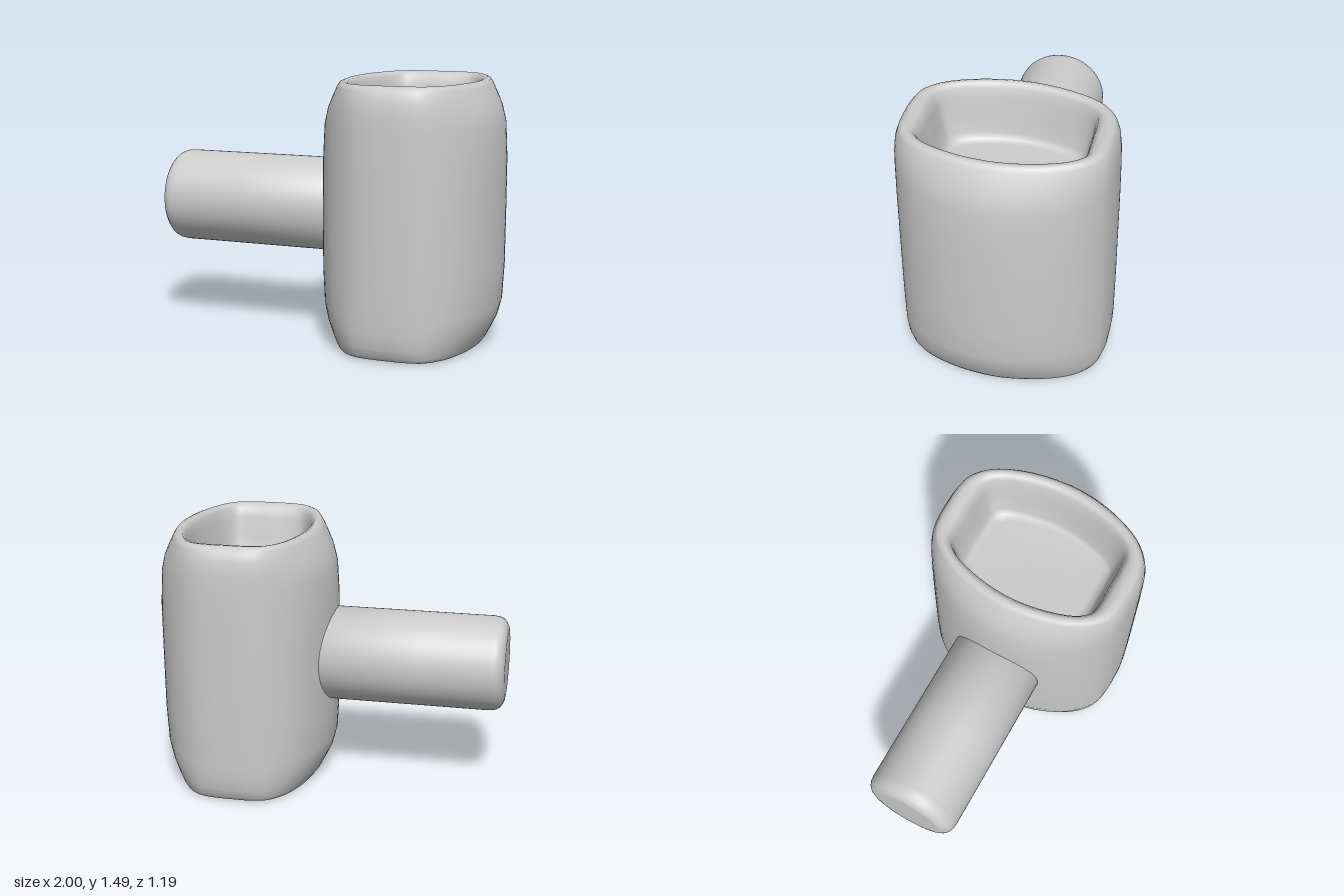
import * as THREE from 'three';

const CX = 0.49, HEIGHT = 1.49, SEG = 96;

// Quarter outlines (unit size) from the +x side round to the +z end
const OUTER = [[1, 0], [0.96, 0.28], [0.85, 0.55], [0.67, 0.78], [0.42, 0.94], [0.2, 0.99], [0, 1]];
const INNER = [[1, 0], [0.97, 0.3], [0.89, 0.6], [0.78, 0.84], [0.63, 0.97], [0.4, 1], [0, 1]];

// Smooth closed outline, blended from OUTER (t = 0) to INNER (t = 1)
function outline(a, b, t) {
  const q = OUTER.map(([x, z], i) => [
    a * THREE.MathUtils.lerp(x, INNER[i][0], t),
    b * THREE.MathUtils.lerp(z, INNER[i][1], t),
  ]);
  const pts = [];
  const add = (list, sx, sz) => list.forEach(([x, z]) => pts.push(new THREE.Vector3(x * sx, 0, z * sz)));
  add(q.slice(0, 6), 1, 1);
  add(q.slice(1).reverse(), -1, 1);
  add(q.slice(0, 6), -1, -1);
  add(q.slice(1).reverse(), 1, -1);
  const curve = new THREE.CatmullRomCurve3(pts, true);
  return Array.from({ length: SEG }, (_, i) => curve.getPoint(i / SEG));
}

// Upper half section: height, half width, half depth, outline blend
const SECTION = [
  [0.745, 0.508, 0.595, 0], [1.05, 0.507, 0.595, 0], [1.25, 0.496, 0.593, 0.02],
  [1.34, 0.472, 0.589, 0.1], [1.41, 0.438, 0.58, 0.2], [1.46, 0.412, 0.562, 0.3],
  [1.482, 0.396, 0.543, 0.4], [1.49, 0.375, 0.515, 0.5], [1.483, 0.353, 0.478, 0.65],
  [1.46, 0.338, 0.452, 0.8], [1.41, 0.325, 0.435, 0.9], [1.3, 0.308, 0.415, 1],
  [1.2, 0.294, 0.392, 1], [1.165, 0.28, 0.368, 1], [1.155, 0.25, 0.33, 1],
];

// Hollow-ended block lofted from the lower recess, over the outside, to the upper recess
function headGeometry() {
  const lower = SECTION.slice(1).reverse().map(([y, ...r]) => [HEIGHT - y, ...r]);
  const rows = [...lower, ...SECTION];
  const pos = [], idx = [];
  rows.forEach(([y, a, b, t]) => outline(a, b, t).forEach((p) => pos.push(CX + p.x, y, p.z)));
  for (let r = 0; r < rows.length - 1; r++) {
    for (let i = 0; i < SEG; i++) {
      const j = (i + 1) % SEG;
      const a = r * SEG + i, b = r * SEG + j, c = a + SEG, d = b + SEG;
      idx.push(a, c, b, b, c, d);
    }
  }
  // Recess floors
  const n = rows.length * SEG, last = n - SEG;
  pos.push(CX, rows[0][0], 0, CX, rows[rows.length - 1][0], 0);
  for (let i = 0; i < SEG; i++) {
    const j = (i + 1) % SEG;
    idx.push(n, i, j, n + 1, last + j, last + i);
  }
  const g = new THREE.BufferGeometry();
  g.setAttribute('position', new THREE.Float32BufferAttribute(pos, 3));
  g.setIndex(idx);
  g.computeVertexNormals();
  return g;
}

// Round handle with a softened flat end, lying along -x
function handleGeometry() {
  const profile = [
    [0, 1], [0.19, 1], [0.215, 0.996], [0.238, 0.985], [0.256, 0.968],
    [0.266, 0.945], [0.27, 0.91], [0.27, 0.5], [0.27, -0.1], [0, -0.1],
  ].reverse().map(([r, d]) => new THREE.Vector2(r, d));
  const g = new THREE.LatheGeometry(profile, 64);
  g.rotateZ(Math.PI / 2);
  g.translate(0, HEIGHT / 2, -0.003);
  return g;
}

export function createModel() {
  const group = new THREE.Group();
  const material = new THREE.MeshStandardMaterial({ color: 0xcccccc });
  const head = new THREE.Mesh(headGeometry(), material);
  head.name = 'hollowHead';
  const handle = new THREE.Mesh(handleGeometry(), material);
  handle.name = 'handle';
  group.add(head, handle);
  return group;
}
